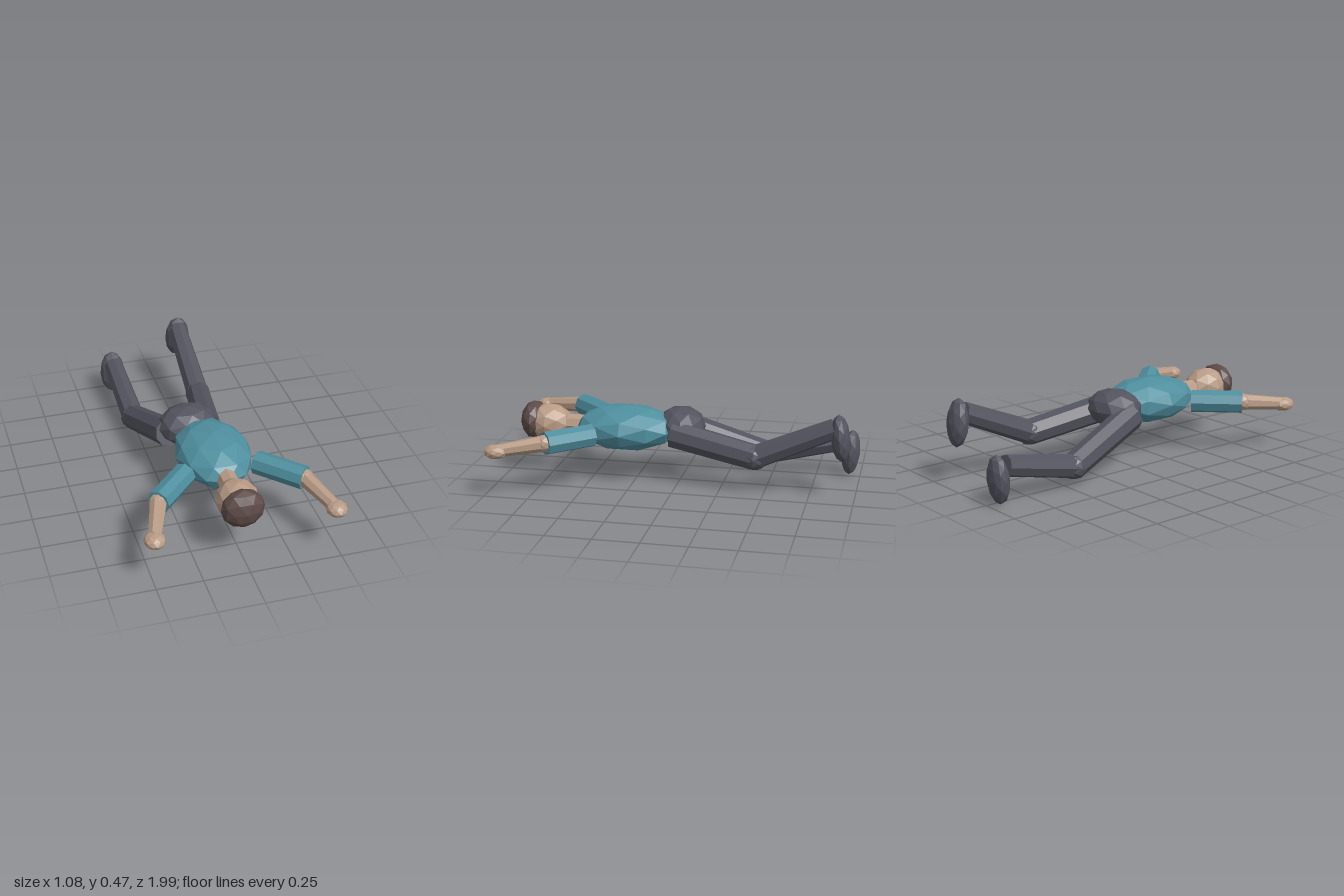
import * as THREE from 'three';

const mat = (name, color) => {
  const m = new THREE.MeshStandardMaterial({ color, flatShading: true });
  m.name = name;
  return m;
};

export function createModel() {
  const shirt = mat('teal shirt', 0x4f8f9f);
  const skin = mat('skin', 0xb89b85);
  const trousers = mat('dark trousers', 0x53535f);
  const hair = mat('brown hair', 0x5c4a47);
  const eye = mat('dark eye', 0x1e1c1c);

  const model = new THREE.Group();
  model.name = 'lyingFigure';

  // Faceted ellipsoid; its long body axis is turned to run along z
  const blob = (name, material, pos, radii, tilt = 0, yaw = 0) => {
    const geo = new THREE.IcosahedronGeometry(1, 1);
    geo.rotateX(Math.PI / 2);
    geo.scale(...radii);
    const mesh = new THREE.Mesh(geo, material);
    mesh.name = name;
    mesh.position.set(...pos);
    mesh.rotation.set(tilt, yaw, 0);
    model.add(mesh);
  };

  // Eight-sided tapered limb between two points
  const limb = (name, material, from, to, r0, r1) => {
    const a = new THREE.Vector3(...from);
    const b = new THREE.Vector3(...to);
    const dir = b.clone().sub(a);
    const mesh = new THREE.Mesh(new THREE.CylinderGeometry(r1, r0, dir.length(), 8), material);
    mesh.name = name;
    mesh.position.copy(a).add(b).multiplyScalar(0.5);
    mesh.quaternion.setFromUnitVectors(new THREE.Vector3(0, 1, 0), dir.normalize());
    model.add(mesh);
  };

  // Trunk, lying face down with the head towards +z
  blob('torso', shirt, [0, 0.297, 0.31], [0.21, 0.128, 0.295]);
  blob('pelvis', trousers, [-0.06, 0.305, 0.005], [0.17, 0.112, 0.14], 0, 0.15);

  // Neck, head and hair
  limb('neck', skin, [0, 0.297, 0.53], [0, 0.297, 0.68], 0.057, 0.057);
  blob('head', skin, [0, 0.3, 0.765], [0.115, 0.108, 0.135]);
  blob('hair', hair, [0, 0.31, 0.853], [0.118, 0.11, 0.075]);

  for (const s of [1, -1]) {
    const side = s > 0 ? 'left' : 'right';
    blob(side + 'Eye', eye, [s * 0.043, 0.206, 0.79], [0.013, 0.013, 0.013]);

    // Arms reaching forward and outward
    const elbow = [s * 0.4, 0.297, 0.672];
    const wrist = [s * 0.48, 0.265, 0.91];
    limb(side + 'UpperArm', shirt, [s * 0.2, 0.297, 0.462], elbow, 0.065, 0.065);
    blob(side + 'Elbow', skin, elbow, [0.05, 0.05, 0.05]);
    limb(side + 'Forearm', skin, elbow, wrist, 0.047, 0.036);
    blob(side + 'Hand', skin, [s * 0.485, 0.26, 0.925], [0.057, 0.04, 0.066]);
  }

  // Legs, bent at the knees by different amounts
  const legs = [
    { side: 'left', hip: [0.05, 0.287, 0.03], knee: [0.13, 0.205, -0.445],
      ankle: [0.128, 0.395, -0.88], foot: [0.13, 0.343, -0.912], tilt: 0.1 },
    { side: 'right', hip: [-0.175, 0.28, 0.03], knee: [-0.267, 0.107, -0.445],
      ankle: [-0.28, 0.205, -0.9], foot: [-0.28, 0.138, -0.942], tilt: -0.07 },
  ];
  for (const { side, hip, knee, ankle, foot, tilt } of legs) {
    limb(side + 'Thigh', trousers, hip, knee, 0.08, 0.073);
    blob(side + 'Knee', trousers, knee, [0.074, 0.074, 0.074]);
    limb(side + 'Shin', trousers, knee, ankle, 0.067, 0.058);
    blob(side + 'Foot', trousers, foot, [0.075, 0.135, 0.053], tilt);
  }

  return model;
}
